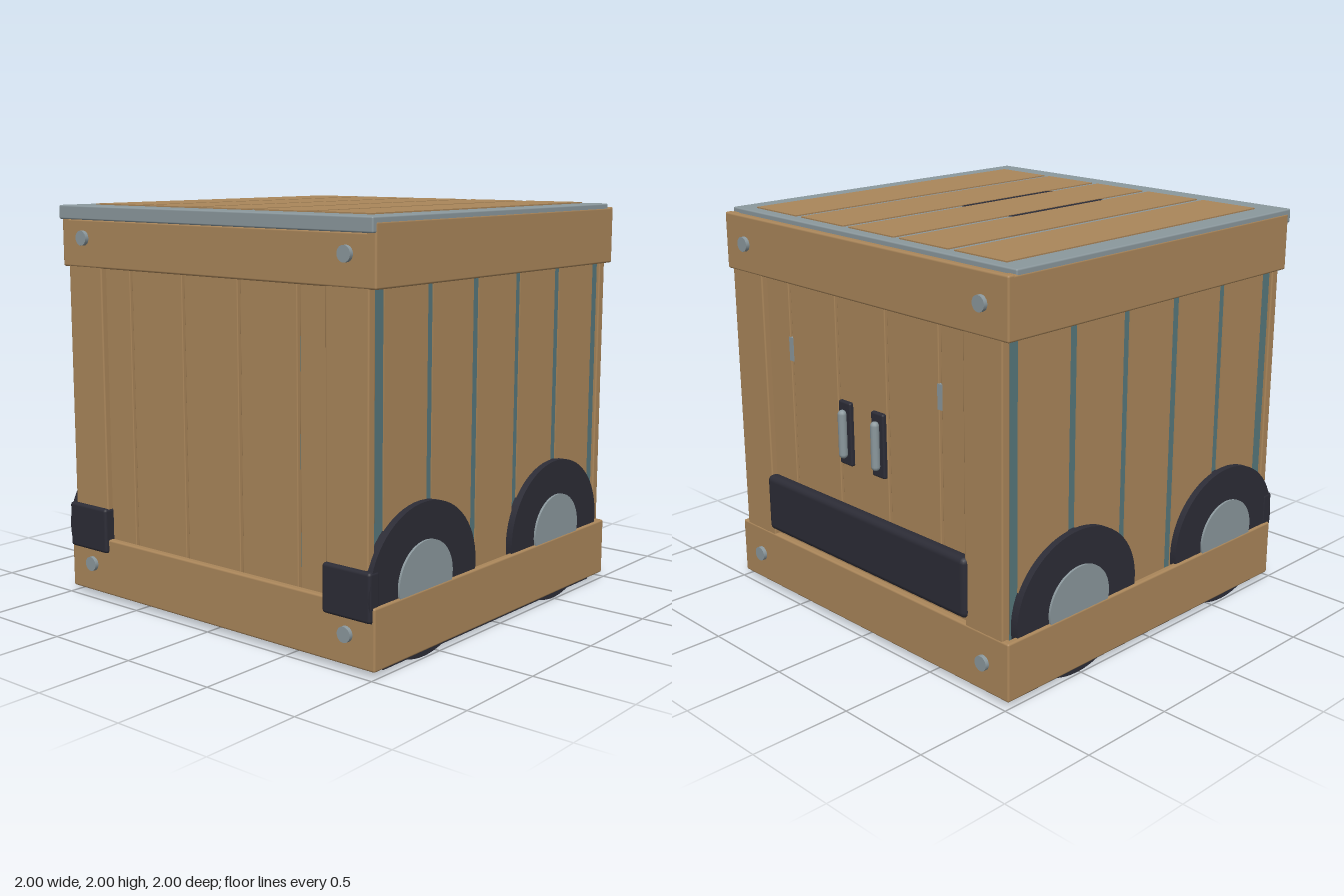
import * as THREE from 'three';
import { RoundedBoxGeometry } from 'three/addons/geometries/RoundedBoxGeometry.js';

const mat = (name, color) => {
  const m = new THREE.MeshStandardMaterial({ color });
  m.name = name;
  return m;
};

export function createModel() {
  const root = new THREE.Group();
  root.name = 'crateCart';
  const wood = mat('wood', 0xaa865a);
  const steel = mat('steel', 0x8b989d);
  const teal = mat('tealSteel', 0x56777c);
  const dark = mat('darkRubber', 0x2c2c36);

  const add = (name, geo, material, x = 0, y = 0, z = 0, parent = root) => {
    const m = new THREE.Mesh(geo, material);
    m.name = name;
    m.position.set(x, y, z);
    parent.add(m);
    return m;
  };
  // box given by its minimum and maximum corners, with an optional edge radius
  const block = (name, material, x0, x1, y0, y1, z0, z1, r = 0, parent = root) => {
    const s = [x1 - x0, y1 - y0, z1 - z0];
    const geo = r ? new RoundedBoxGeometry(...s, 2, r) : new THREE.BoxGeometry(...s);
    return add(name, geo, material, (x0 + x1) / 2, (y0 + y1) / 2, (z0 + z1) / 2, parent);
  };

  // inner metal body and underside
  block('body', teal, -0.945, 0.945, 0.05, 1.93, -0.925, 0.925);
  block('subfloor', wood, -0.96, 0.96, 0.035, 0.06, -0.95, 0.95);
  block('floorPlate', dark, -0.97, 0.97, 0.01, 0.04, -0.88, 0.88);

  // lid with a dark inlay and five planks on top
  block('lid', steel, -0.998, 0.998, 1.925, 1.994, -0.93, 1.0, 0.008);
  const inlay = new THREE.Shape([
    [-0.155, -0.53], [0.155, -0.53], [0.2, -0.5], [0.2, 0.11],
    [0.155, 0.145], [-0.155, 0.145], [-0.2, 0.11], [-0.2, -0.5],
  ].map(([x, y]) => new THREE.Vector2(x, y)));
  const inlayGeo = new THREE.ExtrudeGeometry(inlay, { depth: 0.004, bevelEnabled: false });
  inlayGeo.rotateX(-Math.PI / 2);
  add('lidInlay', inlayGeo, dark, 0, 1.993, 0);
  for (let i = -2; i <= 2; i++) {
    block('lidPlank', wood, i * 0.36 - 0.16, i * 0.36 + 0.16, 1.992, 2.0, -0.87, 0.86);
  }

  // front and back walls: planks, posts, boards and bolts
  const boltGeo = new THREE.CylinderGeometry(0.037, 0.037, 0.025, 20);
  boltGeo.rotateX(Math.PI / 2);
  const endWall = (name, top) => {
    const g = new THREE.Group();
    g.name = name;
    for (let i = -2; i <= 2; i++) {
      block('endPlank', wood, i * 0.36 - 0.172, i * 0.36 + 0.172, 0.05, 1.9, 0.92, 0.945, 0.005, g);
    }
    block('topBoard', wood, -1, 1, 1.69, top, 0.94, 0.98, 0.01, g);
    block('bottomBoard', wood, -1, 1, 0.03, 0.32, 0.94, 0.98, 0.01, g);
    for (const s of [-1, 1]) {
      block('post', wood, s * 0.84 - 0.12, s * 0.84 + 0.12, 0.3, 1.71, 0.93, 0.977, 0.008, g);
      for (const y of [0.175, 1.835]) add('bolt', boltGeo, steel, s * 0.84, y, 0.9875, g);
    }
    root.add(g);
    return g;
  };
  endWall('frontWall', 1.926);
  const back = endWall('backWall', 1.975);
  back.rotation.y = Math.PI;

  // corner bumpers on the front
  for (const s of [-1, 1]) {
    block('frontBumper', dark, s * 0.852 - 0.137, s * 0.852 + 0.137, 0.25, 0.48, 0.93, 1.0, 0.015);
  }

  // rear bumper, door handles and hinges
  block('rearBumper', dark, -0.74, 0.74, 0.35, 0.65, 0.93, 1.0, 0.03, back);
  const gripGeo = new THREE.CapsuleGeometry(0.022, 0.2, 4, 12);
  for (const s of [-1, 1]) {
    block('handlePlate', dark, s * 0.12 - 0.045, s * 0.12 + 0.045, 0.86, 1.18, 0.935, 0.965, 0.01, back);
    add('handleGrip', gripGeo, steel, s * 0.12, 1.02, 0.978, back);
    block('hinge', steel, s * 0.54 - 0.015, s * 0.54 + 0.015, 1.29, 1.41, 0.93, 0.949, 0, back);
  }

  // side walls: planks, boards and wheels
  const disc = (ry, rz, width) => {
    const g = new THREE.CylinderGeometry(1, 1, width, 64);
    g.rotateZ(Math.PI / 2);
    g.scale(1, ry, rz);
    return g;
  };
  const tyreGeo = disc(0.36, 0.4, 0.12);
  const hubGeo = disc(0.185, 0.2, 0.03);
  const planks = [[0.55, 0.86], [0.2, 0.51], [-0.155, 0.155], [-0.505, -0.195], [-0.87, -0.55]];
  for (const s of [-1, 1]) {
    const g = new THREE.Group();
    g.name = s > 0 ? 'leftWall' : 'rightWall';
    const side = (name, x0, x1, ...rest) =>
      block(name, wood, Math.min(s * x0, s * x1), Math.max(s * x0, s * x1), ...rest, g);
    for (const [z0, z1] of planks) side('sidePlank', 0.942, 0.952, 0.05, 1.9, z0, z1, 0);
    side('sideTopBoard', 0.945, 1, 1.69, 1.972, -0.98, 0.98, 0.01);
    side('sideBottomBoard', 0.965, 1, 0.03, 0.32, -0.98, 0.98, 0.01);
    for (const z of [0.6, -0.51]) {
      add('tyre', tyreGeo, dark, s * 0.926, 0.36, z, g);
      add('hub', hubGeo, steel, s * 0.982, 0.36, z, g);
    }
    root.add(g);
  }

  return root;
}
